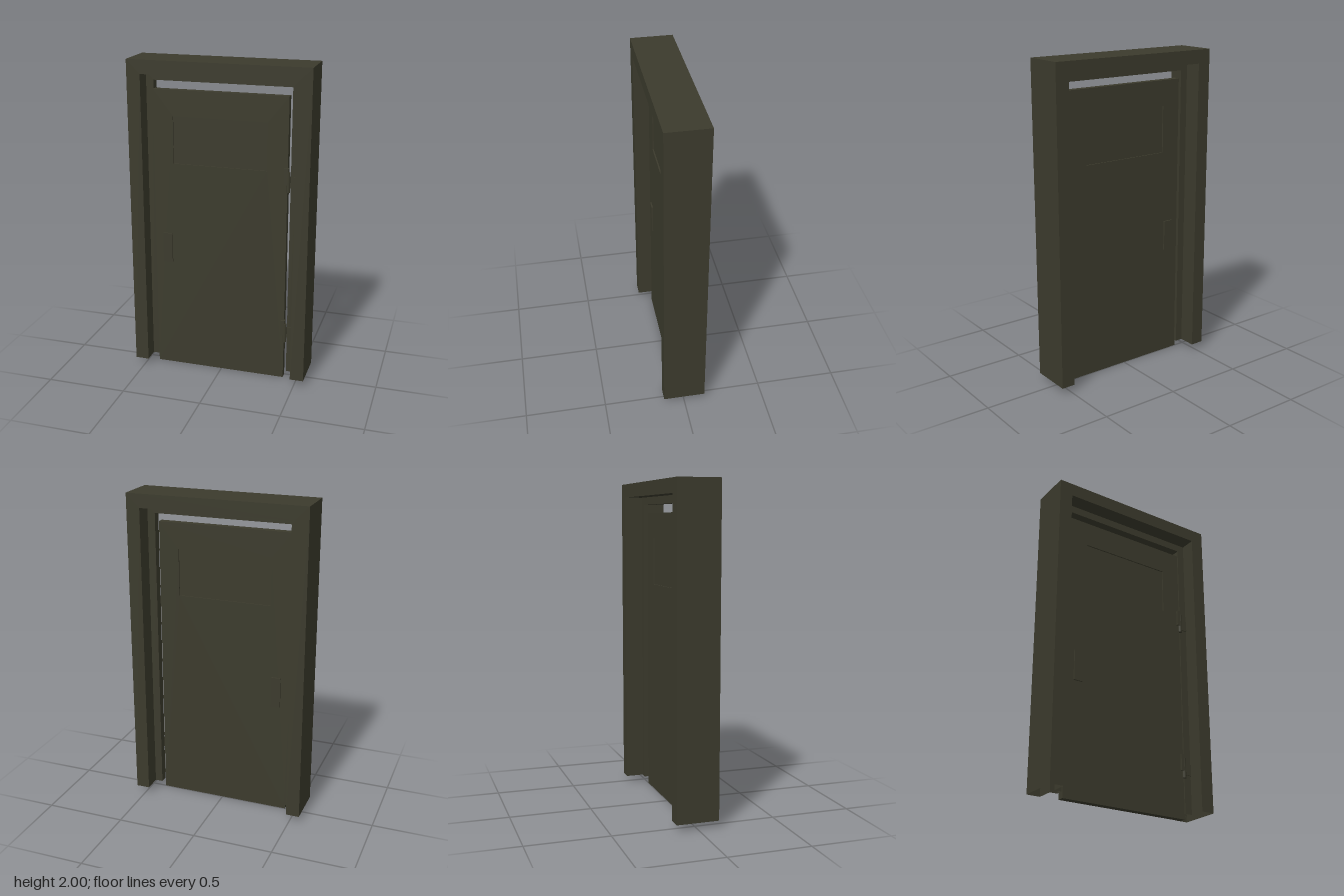
import * as THREE from 'three';

export function createModel() {
  const root = new THREE.Group();
  root.name = 'steelDoor';
  const paint = new THREE.MeshStandardMaterial({ color: 0x3c3b2d, side: THREE.DoubleSide });
  paint.name = 'olive paint';

  const add = (name, geometry, parent = root) => {
    const mesh = new THREE.Mesh(geometry, paint);
    mesh.name = name;
    parent.add(mesh);
    return mesh;
  };
  // Box given by its limits on each axis
  const box = (name, [x0, x1], [y0, y1], [z0, z1], parent) => {
    const geo = new THREE.BoxGeometry(x1 - x0, y1 - y0, z1 - z0);
    geo.translate((x0 + x1) / 2, (y0 + y1) / 2, (z0 + z1) / 2);
    return add(name, geo, parent);
  };
  const rectangle = (PathType, x0, x1, y0, y1) => new PathType([
    [x0, y0], [x1, y0], [x1, y1], [x0, y1],
  ].map(([x, y]) => new THREE.Vector2(x, y)));

  // Hollow pressed frame: a stepped section (inset, z) mitred round both jambs and the head
  const section = [
    [0, 0.13], [0.085, 0.13], [0.085, 0.03], [0.133, 0.03],
    [0.133, -0.02], [0.085, -0.02], [0.085, -0.13], [0, -0.13],
  ];
  const stations = [
    (d) => [-0.56 + d, 0.04],
    (d) => [-0.56 + d, 2 - d],
    (d) => [0.56 - d, 2 - d],
    (d) => [0.56 - d, 0.04],
  ];
  const positions = [];
  for (let s = 0; s < 3; s++) {
    section.forEach((p, i) => {
      const q = section[(i + 1) % section.length];
      const a = [...stations[s](p[0]), p[1]];
      const b = [...stations[s](q[0]), q[1]];
      const c = [...stations[s + 1](q[0]), q[1]];
      const d = [...stations[s + 1](p[0]), p[1]];
      positions.push(...a, ...b, ...c, ...a, ...c, ...d);
    });
  }
  const frame = new THREE.BufferGeometry();
  frame.setAttribute('position', new THREE.Float32BufferAttribute(positions, 3));
  frame.computeVertexNormals();
  add('frame', frame);

  // Door leaf with a window opening and a shallowly recessed panel filling it
  const thick = 0.043;
  const leaf = rectangle(THREE.Shape, -0.43, 0.41, 0, 1.815);
  leaf.holes.push(rectangle(THREE.Path, -0.305, 0.285, 1.36, 1.655));
  add('doorLeaf', new THREE.ExtrudeGeometry(leaf, { depth: thick, bevelEnabled: false }));
  box('windowPanel', [-0.305, 0.285], [1.36, 1.655], [0.008, thick - 0.008]);

  // Raised lock plates on both faces
  box('frontLockPlate', [-0.38, -0.32], [0.712, 0.905], [thick, thick + 0.009]);
  box('backLockPlate', [-0.38, -0.32], [0.712, 0.905], [-0.009, 0]);

  // Two hinges: door knuckle, pin barrel and frame leaf
  for (const [name, y] of [['upperHinge', 1.24], ['lowerHinge', 0.255]]) {
    const hinge = new THREE.Group();
    hinge.name = name;
    hinge.position.y = y;
    root.add(hinge);
    box('doorKnuckle', [0.39, 0.417], [0.045, 0.147], [0.025, 0.056], hinge);
    const pin = add('pinBarrel', new THREE.CylinderGeometry(0.012, 0.012, 0.125, 12), hinge);
    pin.position.set(0.415, 0.0625, 0.045);
    box('frameLeaf', [0.415, 0.475], [0.025, 0.095], [0.03, 0.036], hinge);
  }
  return root;
}
